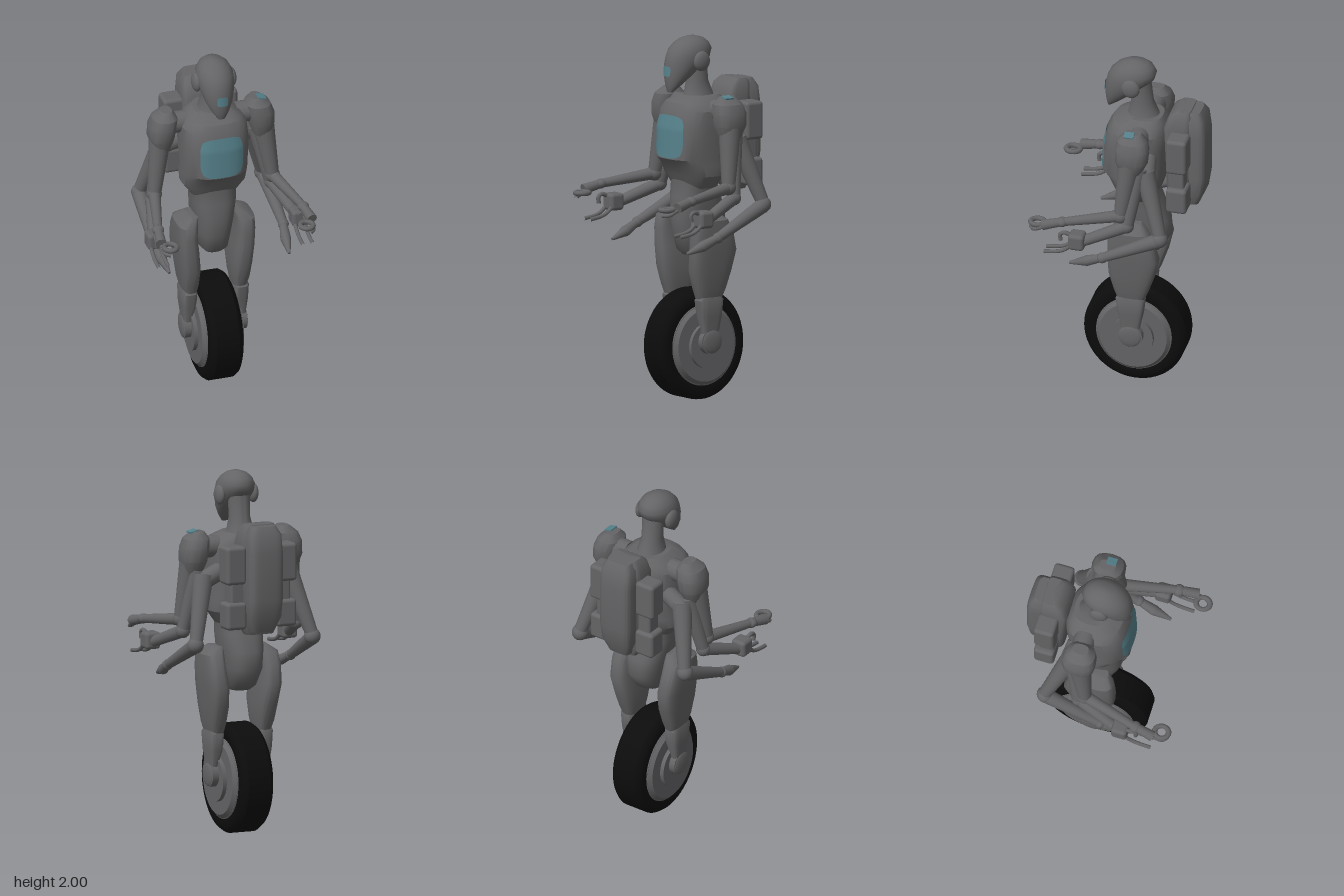
import * as THREE from 'three';
import { toCreasedNormals } from 'three/addons/utils/BufferGeometryUtils.js';
import { RoundedBoxGeometry } from 'three/addons/geometries/RoundedBoxGeometry.js';

const material = (name, color, extra = {}) => Object.assign(new THREE.MeshStandardMaterial({ color, ...extra }), { name });
const V = (x, y, z) => new THREE.Vector3(x, y, z);

// Loft of superellipse sections [y, xMin, xMax, zMin, zMax]
function loft(rows, n = 2.5, crease = 0.7, seg = 40) {
  const pos = [], idx = [];
  const ring = ([y, x0, x1, z0, z1]) => {
    for (let j = 0; j < seg; j++) {
      const t = (j / seg) * Math.PI * 2, c = Math.cos(t), s = Math.sin(t);
      pos.push((x0 + x1) / 2 + (x1 - x0) / 2 * Math.sign(c) * Math.abs(c) ** (2 / n), y,
        (z0 + z1) / 2 + (z1 - z0) / 2 * Math.sign(s) * Math.abs(s) ** (2 / n));
    }
  };
  rows.forEach(ring);
  for (let i = 0; i < rows.length - 1; i++) for (let j = 0; j < seg; j++) {
    const a = i * seg + j, b = i * seg + (j + 1) % seg;
    idx.push(a, a + seg, b, b, a + seg, b + seg);
  }
  const last = (rows.length - 1) * seg;
  [[rows[0], 0, true], [rows[rows.length - 1], last, false]].forEach(([r, base, low]) => {
    const c = pos.length / 3;
    pos.push((r[1] + r[2]) / 2, r[0], (r[3] + r[4]) / 2);
    for (let j = 0; j < seg; j++) {
      const a = base + j, b = base + (j + 1) % seg;
      low ? idx.push(c, a, b) : idx.push(c, b, a);
    }
  });
  const g = new THREE.BufferGeometry();
  g.setAttribute('position', new THREE.Float32BufferAttribute(pos, 3));
  g.setIndex(idx);
  g.computeVertexNormals();
  return crease ? toCreasedNormals(g, crease) : g;
}

// Sections symmetric about x = 0: [y, halfWidth, zMin, zMax]
const sym = rows => rows.map(([y, h, a, b]) => [y, -h, h, a, b]);
// Sections mirrored to side s
const side = (rows, s) => rows.map(([y, a, b, c, d]) => s > 0 ? [y, a, b, c, d] : [y, -b, -a, c, d]);

// Thin rounded patch hugging the front of a symmetric loft
function frontPatch(rows, n, cy, w, h) {
  const g = new THREE.PlaneGeometry(2, 2, 16, 16), p = g.attributes.position;
  for (let i = 0; i < p.count; i++) {
    const u = p.getX(i), v = p.getY(i);
    const x = w * u * (1 - 0.14 * v ** 4), y = cy + h * v * (1 - 0.14 * u ** 4);
    let k = 0;
    while (k < rows.length - 2 && rows[k + 1][0] < y) k++;
    const A = rows[k], B = rows[k + 1], f = (y - A[0]) / (B[0] - A[0]);
    const [hx, z0, z1] = [1, 2, 3].map(m => A[m] + (B[m] - A[m]) * f);
    p.setXYZ(i, x, y, (z0 + z1) / 2 + (z1 - z0) / 2 * Math.max(0, 1 - Math.abs(x / hx) ** n) ** (1 / n) + 0.005);
  }
  g.computeVertexNormals();
  return g;
}

// Tapered limb from a to b
function limb(a, b, ra, rb, seg = 14) {
  const d = b.clone().sub(a), g = new THREE.CylinderGeometry(rb, ra, d.length(), seg);
  g.applyQuaternion(new THREE.Quaternion().setFromUnitVectors(V(0, 1, 0), d.clone().normalize()));
  const m = a.clone().add(b).multiplyScalar(0.5);
  return g.translate(m.x, m.y, m.z);
}
const ball = (c, rx, ry = rx, rz = rx) => new THREE.SphereGeometry(1, 20, 14).scale(rx, ry, rz).translate(c.x, c.y, c.z);
const tube = (pts, r) => new THREE.TubeGeometry(new THREE.CatmullRomCurve3(pts), 16, r, 8);

export function createModel() {
  const root = new THREE.Group();
  root.name = 'wheeledRobot';
  const grey = material('shellGrey', 0x646466), black = material('tyreBlack', 0x0c0c0c);
  const teal = material('lightTeal', 0x55808a, { side: THREE.DoubleSide });
  const add = (name, g, m = grey, parent = root) => {
    const mesh = new THREE.Mesh(g, m);
    mesh.name = name;
    parent.add(mesh);
    return mesh;
  };

  // Wheel, slightly narrower front to back
  const place = g => g.rotateZ(-Math.PI / 2).scale(1, 1, 0.95).translate(0, 0.303, -0.058);
  const tyre = [[0.2, -0.088], [0.235, -0.096], [0.265, -0.097], [0.287, -0.087], [0.303, -0.066]];
  const profile = [...tyre, ...tyre.map(([r, x]) => [r, -x]).reverse()].map(([r, x]) => new THREE.Vector2(r, x));
  add('tyre', place(toCreasedNormals(new THREE.LatheGeometry(profile, 56), 0.6)), black);
  add('rim', place(new THREE.CylinderGeometry(0.222, 0.222, 0.2, 48)));
  for (const s of [1, -1]) {
    add('rimDish', place(new THREE.CylinderGeometry(s > 0 ? 0.2 : 0.225, s > 0 ? 0.225 : 0.2, 0.025, 48).translate(0, s * 0.107, 0)));
    add('hubDisc', place(new THREE.CylinderGeometry(0.125, 0.125, 0.03, 40).translate(0, s * 0.127, 0)));
  }

  // Trunk
  const chest = [[1.17, 0.13, -0.16, 0.03], [1.24, 0.18, -0.2, 0.065], [1.3, 0.183, -0.215, 0.095], [1.335, 0.178, -0.22, 0.13],
    [1.5, 0.19, -0.235, 0.122], [1.6, 0.182, -0.235, 0.1], [1.64, 0.155, -0.22, 0.075], [1.675, 0.1, -0.2, 0.01]];
  add('chest', loft(sym(chest), 2.6, 0.5));
  add('chestPanel', frontPatch(chest, 2.6, 1.458, 0.122, 0.117), teal);
  add('pelvis', loft(sym([[0.795, 0.055, -0.14, 0], [0.825, 0.08, -0.19, 0.035], [0.92, 0.098, -0.25, 0.06], [1.02, 0.112, -0.24, 0.072],
    [1.12, 0.125, -0.2, 0.06], [1.2, 0.125, -0.17, 0.05], [1.3, 0.165, -0.18, 0.06]]), 2.6));
  add('neck', loft(sym([[1.62, 0.095, -0.2, 0.02], [1.68, 0.072, -0.175, -0.005], [1.75, 0.058, -0.145, -0.02], [1.87, 0.062, -0.13, -0.02]]), 2));

  // Head
  const head = [[1.7, 0.02, 0.09, 0.112], [1.74, 0.05, 0.035, 0.12], [1.79, 0.076, -0.03, 0.125], [1.845, 0.093, -0.1, 0.122],
    [1.89, 0.101, -0.148, 0.112], [1.93, 0.1, -0.16, 0.095], [1.965, 0.082, -0.142, 0.062], [1.988, 0.055, -0.112, 0.025], [2, 0.02, -0.07, -0.015]];
  add('head', loft(sym(head), 2.05, 0));
  add('faceLight', frontPatch(head, 2.05, 1.816, 0.031, 0.028), teal);

  // Backpack
  add('packCore', loft(sym([[1.14, 0.08, -0.36, -0.29], [1.2, 0.11, -0.38, -0.24], [1.64, 0.11, -0.38, -0.22], [1.72, 0.1, -0.38, -0.25], [1.75, 0.08, -0.37, -0.29]]), 5));
  add('packHump', loft(sym([[1.16, 0.065, -0.41, -0.33], [1.24, 0.095, -0.445, -0.33], [1.34, 0.1, -0.46, -0.33],
    [1.6, 0.1, -0.46, -0.33], [1.7, 0.095, -0.447, -0.33], [1.745, 0.07, -0.42, -0.33]]), 4));
  const box = (w, h, d, x, y, z, r) => new RoundedBoxGeometry(w, h, d, 3, r).translate(x, y, z);

  for (const s of [1, -1]) {
    const P = (x, y, z) => V(s * x, y, z);
    const word = s > 0 ? 'left' : 'right';
    const half = new THREE.Group();
    half.name = word + 'Side';
    root.add(half);
    const part = (name, g, m) => add(word + name, g, m, half);

    part('Ear', ball(P(0.1, 1.87, -0.04), 0.026, 0.055, 0.052));
    part('UpperPouch', box(0.12, 0.21, 0.115, s * 0.152, 1.53, -0.322, 0.02));
    part('LowerPouch', box(0.12, 0.15, 0.115, s * 0.15, 1.25, -0.322, 0.02));
    part('PouchStrap', box(0.09, 0.42, 0.09, s * 0.135, 1.42, -0.315, 0.015));

    // Legs and fork
    part('Thigh', loft(side([[0.56, 0.105, 0.18, -0.13, 0.02], [0.62, 0.095, 0.195, -0.155, 0.04], [0.72, 0.09, 0.205, -0.19, 0.068], [0.83, 0.098, 0.218, -0.215, 0.072],
      [0.93, 0.108, 0.222, -0.19, 0.07], [1, 0.105, 0.218, -0.155, 0.06], [1.04, 0.1, 0.16, -0.11, 0.025]], s), 3.2));
    part('Fork', loft(side([[0.3, 0.13, 0.178, -0.095, -0.005], [0.4, 0.13, 0.18, -0.11, 0], [0.47, 0.108, 0.188, -0.125, 0.015],
      [0.56, 0.105, 0.19, -0.135, 0.028], [0.6, 0.115, 0.175, -0.11, 0]], s), 4));
    part('HubCap', limb(P(0.12, 0.33, -0.055), P(0.178, 0.33, -0.055), 0.07, 0.07, 28));
    part('HubDome', ball(P(0.175, 0.33, -0.055), 0.014, 0.066, 0.066));

    // Shoulder
    part('ShoulderJoint', limb(P(0.14, 1.6, -0.1), P(0.26, 1.6, -0.1), 0.06, 0.06));
    part('ShoulderPad', loft(side([[1.46, 0.24, 0.335, -0.15, -0.03], [1.53, 0.215, 0.358, -0.185, -0.005], [1.6, 0.203, 0.355, -0.19, 0],
      [1.65, 0.198, 0.335, -0.175, -0.01], [1.69, 0.225, 0.285, -0.14, -0.05]], s), 2.5, 0.5, 16));

    // Front arm with open hand
    part('FrontUpperArm', limb(P(0.295, 1.52, -0.085), P(0.338, 1.2, -0.045), 0.062, 0.037));
    part('FrontElbow', ball(P(0.338, 1.2, -0.045), 0.042));
    part('FrontForearm', limb(P(0.338, 1.2, -0.045), P(0.412, 1.162, 0.25), 0.034, 0.024));
    part('FrontWrist', ball(P(0.415, 1.16, 0.265), 0.033, 0.027, 0.033));
    part('FrontPalm', limb(P(0.415, 1.16, 0.265), P(0.432, 1.135, 0.37), 0.024, 0.03));
    part('FrontFingerRing', new THREE.TorusGeometry(0.035, 0.014, 8, 20).rotateX(Math.PI / 2).scale(1, 1, 1.1).translate(s * 0.39, 1.125, 0.408));
    part('FrontFinger', tube([P(0.43, 1.12, 0.37), P(0.425, 1.098, 0.42), P(0.395, 1.095, 0.447)], 0.011));

    // Middle arm with claw
    part('MiddleUpperArm', limb(P(0.27, 1.48, -0.13), P(0.34, 1.14, -0.08), 0.05, 0.036));
    part('MiddleElbow', ball(P(0.34, 1.14, -0.08), 0.04));
    part('MiddleForearm', limb(P(0.34, 1.14, -0.08), P(0.408, 1.05, 0.15), 0.036, 0.03));
    part('ClawBlock', box(0.09, 0.095, 0.09, s * 0.413, 1.055, 0.18, 0.02));
    part('ClawUpper', tube([P(0.42, 1.08, 0.2), P(0.425, 1.1, 0.25), P(0.425, 1.085, 0.272), P(0.425, 1.05, 0.27)], 0.012));
    for (const x of [0.385, 0.44])
      part('ClawLower', tube([P(x, 1.03, 0.21), P(x, 1.0, 0.245), P(x, 0.985, 0.28), P(x, 0.972, 0.36)], 0.011));

    // Rear arm with pointed hand
    part('RearShoulder', limb(P(0.15, 1.47, -0.15), P(0.27, 1.42, -0.17), 0.05, 0.05));
    part('RearUpperArm', limb(P(0.255, 1.45, -0.16), P(0.35, 1.1, -0.27), 0.056, 0.036));
    part('RearElbow', ball(P(0.352, 1.09, -0.268), 0.046));
    part('RearForearm', limb(P(0.355, 1.085, -0.265), P(0.37, 0.935, 0.05), 0.042, 0.026));
    part('RearWrist', ball(P(0.37, 0.935, 0.05), 0.03));
    part('RearPalm', limb(P(0.37, 0.935, 0.05), P(0.355, 0.895, 0.14), 0.022, 0.03));
    part('RearFingers', limb(P(0.355, 0.895, 0.14), P(0.343, 0.86, 0.24), 0.03, 0.008));
  }

  // Single status light on the left shoulder
  const light = add('shoulderLight', new THREE.BoxGeometry(0.045, 0.008, 0.055), teal);
  light.position.set(0.283, 1.688, -0.078);
  light.rotation.z = -0.25;
  return root;
}
